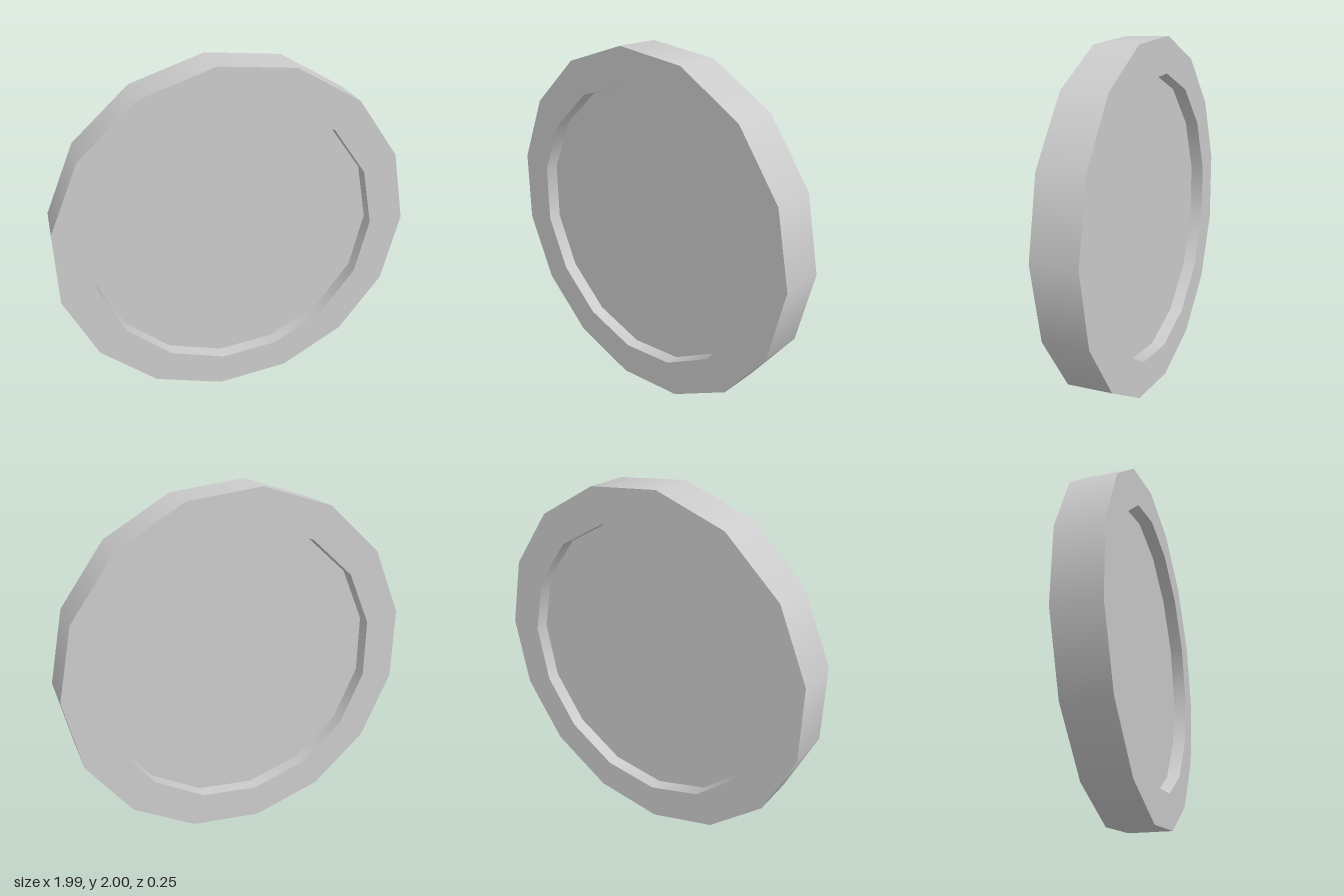
import * as THREE from 'three';

const SIDES = 15;
const OUTER = 1.0055;   // corner radius of the rim
const INNER = 0.805;    // corner radius of the recesses
const HALF = 0.125;     // half of the rim thickness
const FLOOR = 0.048;    // half of the panel thickness

export function createModel() {
  const group = new THREE.Group();
  const material = new THREE.MeshStandardMaterial({ color: 0xcccccc });

  // One turned band per profile line: smooth around, sharp between bands.
  function band(name, r0, z0, r1, z1) {
    const points = [new THREE.Vector2(r0, z0), new THREE.Vector2(r1, z1)];
    const geometry = new THREE.LatheGeometry(points, SIDES, Math.PI / 2);
    geometry.rotateX(Math.PI / 2);
    const mesh = new THREE.Mesh(geometry, material);
    mesh.name = name;
    group.add(mesh);
  }

  // Profile from the back centre, around the rim, to the front centre
  band('backPanel', 0, -FLOOR, INNER, -FLOOR);
  band('backRecessWall', INNER, -FLOOR, INNER, -HALF);
  band('backRim', INNER, -HALF, OUTER, -HALF);
  band('outerEdge', OUTER, -HALF, OUTER, HALF);
  band('frontRim', OUTER, HALF, INNER, HALF);
  band('frontRecessWall', INNER, HALF, INNER, FLOOR);
  band('frontPanel', INNER, FLOOR, 0, FLOOR);

  // An odd number of sides puts the axis slightly off the middle of the width
  const offset = -OUTER * (1 - Math.cos(Math.PI / SIDES)) / 2;
  group.children.forEach((mesh) => mesh.position.set(offset, 1, 0));
  group.name = 'recessedDisc';
  return group;
}
